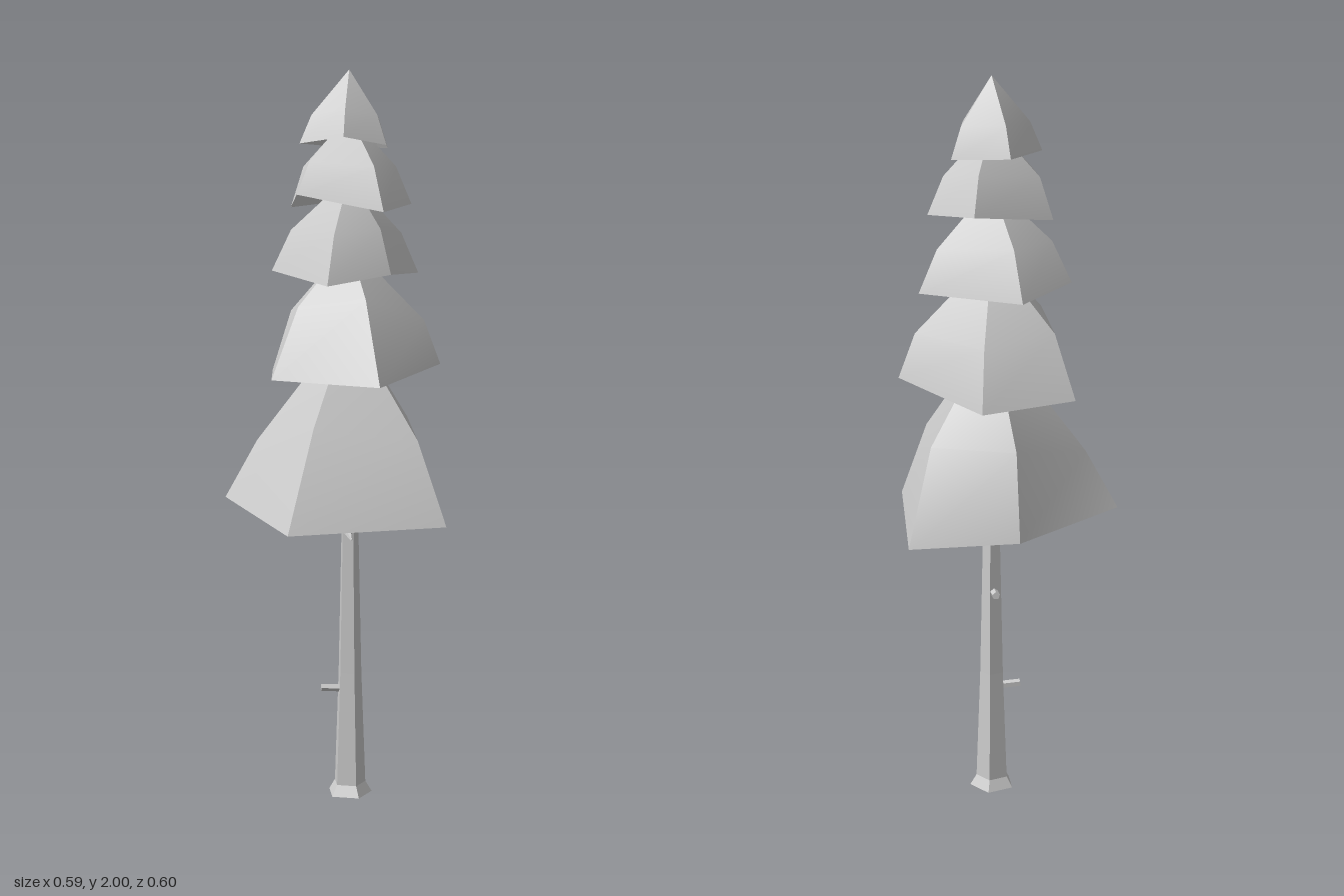
import * as THREE from 'three';
import { toCreasedNormals } from 'three/addons/utils/BufferGeometryUtils.js';

const AXIS = { x: 0.04, z: -0.02 };
const bark = new THREE.MeshStandardMaterial({
  color: 0xcccccc, flatShading: true, side: THREE.DoubleSide,
});
const foliage = new THREE.MeshStandardMaterial({ color: 0xcccccc, side: THREE.DoubleSide });

// Each skirt of branches: an apex height and five drooping corners.
// Corner: [x, z, y, inset of the bend towards the axis, rise of the bend]
const TIERS = [
  { apex: 1.33, corners: [
    [0.01, -0.30, 0.825, 0.87, 0.235], [0.29, -0.19, 0.785, 0.73, 0.265],
    [0.262, 0.25, 0.805, 0.71, 0.22], [-0.162, 0.295, 0.80, 0.59, 0.26],
    [-0.295, -0.09, 0.84, 0.74, 0.16]] },
  { apex: 1.54, corners: [
    [0.10, -0.245, 1.16, 0.8, 0.16], [0.292, -0.015, 1.21, 0.82, 0.12],
    [0.085, 0.245, 1.175, 0.55, 0.22], [-0.185, 0.115, 1.185, 0.66, 0.19],
    [-0.15, -0.215, 1.18, 0.75, 0.17]] },
  { apex: 1.72, corners: [
    [-0.01, -0.215, 1.44, 0.72, 0.13], [0.245, -0.105, 1.455, 0.75, 0.11],
    [0.135, 0.105, 1.46, 0.75, 0.12], [-0.045, 0.185, 1.435, 0.7, 0.13],
    [-0.165, -0.07, 1.465, 0.75, 0.11]] },
  { apex: 1.88, corners: [
    [0.11, -0.185, 1.66, 0.75, 0.10], [0.21, -0.02, 1.645, 0.75, 0.10],
    [0.11, 0.135, 1.625, 0.72, 0.12], [-0.11, 0.055, 1.67, 0.75, 0.09],
    [-0.11, -0.095, 1.635, 0.78, 0.11]] },
  { apex: 2.0, corners: [
    [0.01, -0.145, 1.80, 0.75, 0.08], [0.155, -0.085, 1.795, 0.76, 0.08],
    [0.13, 0.05, 1.80, 0.75, 0.08], [0.01, 0.09, 1.82, 0.75, 0.07],
    [-0.095, -0.01, 1.805, 0.76, 0.075]] },
];

// Open, bent pyramid hanging from its apex
function tierGeometry({ apex, corners }) {
  const top = [AXIS.x, apex, AXIS.z];
  const low = corners.map(([x, z, y]) => [x, y, z]);
  const mid = corners.map(([x, z, y, k, rise]) => [
    AXIS.x + (x - AXIS.x) * k, y + rise, AXIS.z + (z - AXIS.z) * k,
  ]);
  const points = [];
  low.forEach((a, i) => {
    const j = (i + 1) % low.length;
    points.push(a, mid[i], low[j], mid[i], mid[j], low[j], mid[i], top, mid[j]);
  });
  const geometry = new THREE.BufferGeometry();
  geometry.setAttribute('position', new THREE.Float32BufferAttribute(points.flat(), 3));
  return toCreasedNormals(geometry, 0.6);
}

// Short tapered branch between two points
function twig(name, from, to, r0, r1) {
  const a = new THREE.Vector3(...from);
  const b = new THREE.Vector3(...to);
  const dir = b.clone().sub(a);
  const mesh = new THREE.Mesh(new THREE.CylinderGeometry(r1, r0, dir.length(), 5), bark);
  mesh.position.copy(a).add(b).multiplyScalar(0.5);
  mesh.quaternion.setFromUnitVectors(new THREE.Vector3(0, 1, 0), dir.normalize());
  mesh.name = name;
  return mesh;
}

export function createModel() {
  const group = new THREE.Group();
  group.name = 'pineTree';

  // Five-sided trunk with a flared, open foot
  const profile = [[0.064, 0], [0.046, 0.03], [0.034, 0.35], [0.024, 0.8], [0.012, 1.25]]
    .map(([r, y]) => new THREE.Vector2(r, y));
  const trunk = new THREE.Mesh(new THREE.LatheGeometry(profile, 5, 0.3), bark);
  trunk.position.set(AXIS.x + 0.002, 0, AXIS.z);
  trunk.name = 'trunk';
  group.add(trunk);

  // Foliage skirts from bottom to top
  TIERS.forEach((tier, i) => {
    const mesh = new THREE.Mesh(tierGeometry(tier), foliage);
    mesh.name = `foliageTier${i + 1}`;
    group.add(mesh);
  });

  // Bare twigs on the trunk
  group.add(
    twig('rightStub', [0.04, 0.303, -0.02], [-0.037, 0.307, -0.02], 0.011, 0.011),
    twig('backStub', [0.04, 0.592, -0.02], [0.04, 0.598, -0.082], 0.012, 0.011),
    twig('frontTwig', [0.035, 0.753, -0.01], [0.025, 0.756, 0.145], 0.014, 0.002),
  );
  return group;
}
